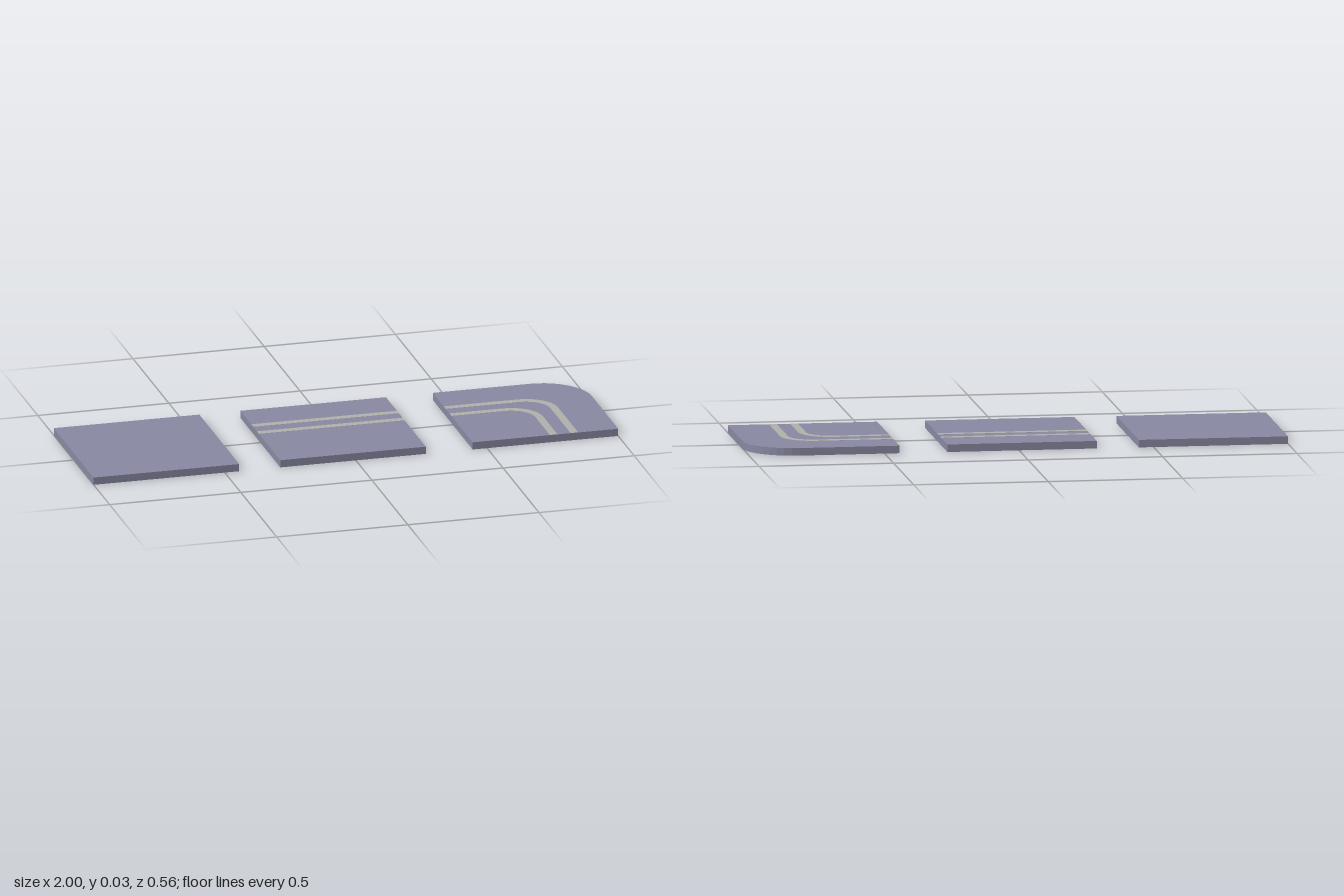
import * as THREE from 'three';

const SIZE = 0.555, HALF = SIZE / 2, HEIGHT = 0.028;
const STRIPE = 0.029, PAINT = 0.0005;
const OFFSETS = [0.125, 0.046]; // far edge of each stripe, towards the back

const tileMat = new THREE.MeshStandardMaterial({ color: 0x8888a2, flatShading: true });
const stripeMat = new THREE.MeshStandardMaterial({ color: 0xb0b0ac, flatShading: true });

// Lay a plan shape (x, -z) flat and extrude it upwards from height y
function slab(name, shape, height, y, material) {
  const geo = new THREE.ExtrudeGeometry(shape, { depth: height, bevelEnabled: false, curveSegments: 5 });
  geo.rotateX(-Math.PI / 2);
  const mesh = new THREE.Mesh(geo, material);
  mesh.name = name;
  mesh.position.y = y;
  return mesh;
}

// Square with an optional rounded back left corner
function tileShape(radius) {
  const s = new THREE.Shape();
  s.moveTo(-HALF, -HALF);
  s.lineTo(HALF, -HALF);
  if (radius > 0) {
    s.lineTo(HALF, HALF - radius);
    s.absarc(HALF - radius, HALF - radius, radius, 0, Math.PI / 2, false);
  } else s.lineTo(HALF, HALF);
  s.lineTo(-HALF, HALF);
  s.closePath();
  return s;
}

function straightStripe(top) {
  const s = new THREE.Shape();
  s.moveTo(-HALF, top - STRIPE);
  s.lineTo(HALF, top - STRIPE);
  s.lineTo(HALF, top);
  s.lineTo(-HALF, top);
  s.closePath();
  return s;
}

// Stripe entering from the right edge and turning towards the front edge
function curvedStripe(top) {
  const side = top, r = 0.12; // outer edges lie on the tile's diagonal
  const cx = side - r, cy = top - r;
  const s = new THREE.Shape();
  s.moveTo(-HALF, top - STRIPE);
  s.lineTo(cx, top - STRIPE);
  s.absarc(cx, cy, r - STRIPE, Math.PI / 2, 0, true);
  s.lineTo(side - STRIPE, -HALF);
  s.lineTo(side, -HALF);
  s.lineTo(side, cy);
  s.absarc(cx, cy, r, 0, Math.PI / 2, false);
  s.lineTo(-HALF, top);
  s.closePath();
  return s;
}

function makeTile(name, x, radius, stripeShape) {
  const tile = new THREE.Group();
  tile.name = name;
  tile.position.x = x;
  tile.add(slab(name + 'Slab', tileShape(radius), HEIGHT, 0, tileMat));
  if (stripeShape) {
    OFFSETS.forEach((top, i) =>
      tile.add(slab(name + 'Stripe' + (i + 1), stripeShape(top), PAINT, HEIGHT, stripeMat)));
  }
  return tile;
}

export function createModel() {
  const model = new THREE.Group();
  model.name = 'roadTiles';
  model.add(
    makeTile('plainTile', -1 + HALF, 0, null),
    makeTile('straightTile', -0.011, 0, straightStripe),
    makeTile('cornerTile', 1 - HALF, 0.185, curvedStripe)
  );
  return model;
}
